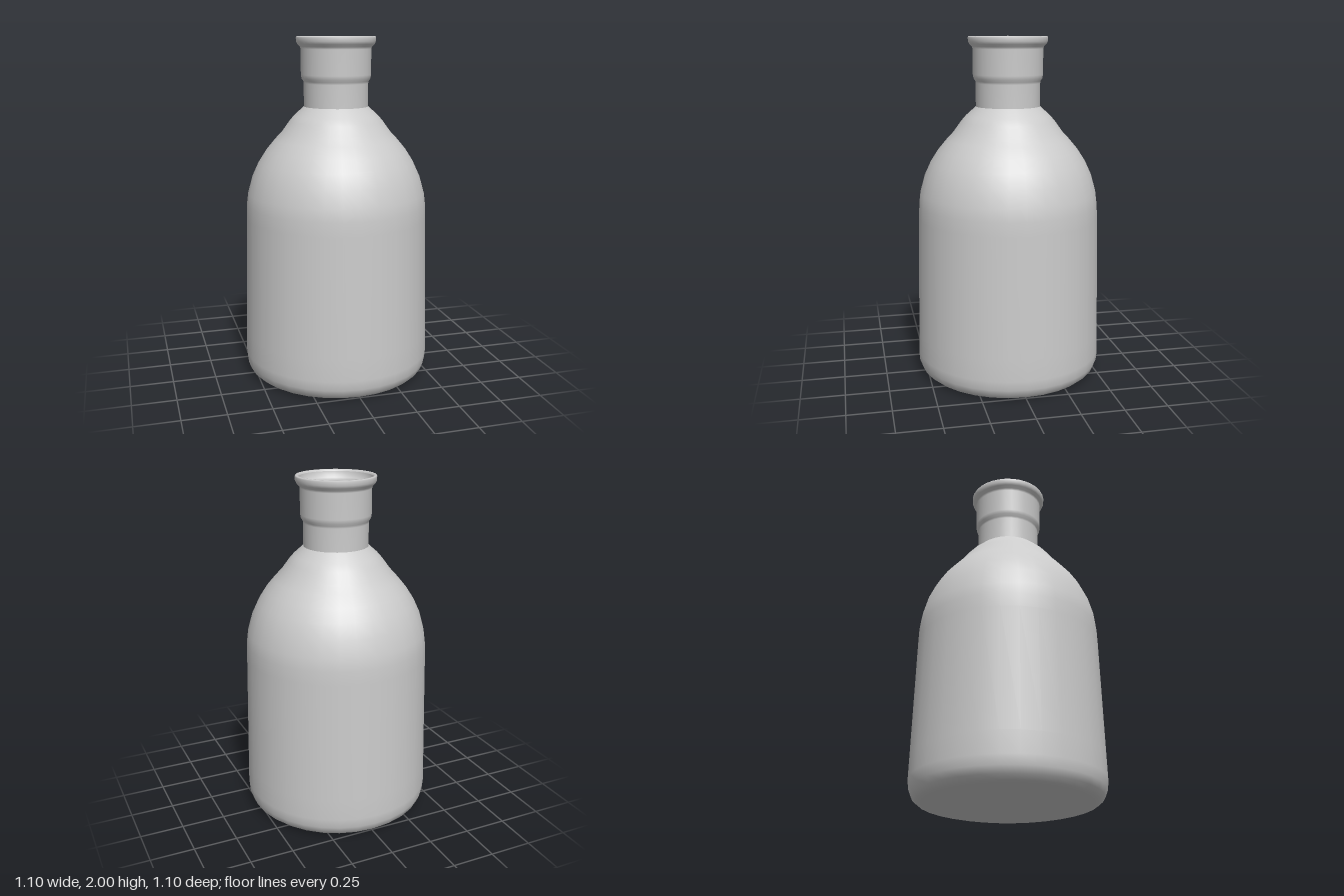
import * as THREE from 'three';

const SIDES = 32;

// Turns a radius/height profile into a smooth round shell
function turned(name, profile, material) {
  const points = profile.map(([r, y]) => new THREE.Vector2(r, y));
  const mesh = new THREE.Mesh(new THREE.LatheGeometry(points, SIDES), material);
  mesh.name = name;
  return mesh;
}

export function createModel() {
  const group = new THREE.Group();
  group.name = 'bottle';
  const material = new THREE.MeshStandardMaterial({ color: 0xcccccc, side: THREE.DoubleSide });
  const wall = 0.02;

  // Rounded foot, slightly tapered wall and domed shoulder
  const body = [
    [0.475, 0], [0.503, 0.007], [0.53, 0.03], [0.546, 0.07], [0.551, 0.125],
    [0.548, 0.25], [0.532, 0.95], [0.529, 1.03], [0.52, 1.1], [0.492, 1.2],
    [0.455, 1.28], [0.41, 1.35], [0.36, 1.41], [0.318, 1.455],
    [0.275, 1.515], [0.245, 1.55], [0.187, 1.602],
  ];
  // Straight lower neck, wider collar and flared lip
  const neck = [
    [0.187, 1.602], [0.187, 1.735], [0.189, 1.748], [0.199, 1.762],
    [0.203, 1.785], [0.203, 1.93], [0.208, 1.943], [0.222, 1.957],
    [0.229, 1.972], [0.23, 1.993], [0.226, 2], [0.215, 2], [0.21, 1.99],
  ];
  // Inside of the neck, running down from the lip
  const bore = [
    [0.21, 1.99], [0.207, 1.97], [0.197, 1.955], [0.184, 1.94],
    [0.182, 1.785], [0.179, 1.768], [0.169, 1.75], [0.168, 1.6],
  ];
  // Inside of the body follows the outside at the wall thickness
  const cavity = body.slice(0, -1).reverse()
    .map(([r, y]) => [r - wall, Math.max(y, wall + y * 0.9)]);

  group.add(
    turned('base', [[0, 0], [0.475, 0]], material),
    turned('body', body, material),
    turned('neckAndLip', neck, material),
    turned('neckBore', bore, material),
    turned('innerWall', [[0.168, 1.6], ...cavity], material),
    turned('innerFloor', [[0.455, wall], [0, wall]], material),
  );
  return group;
}
